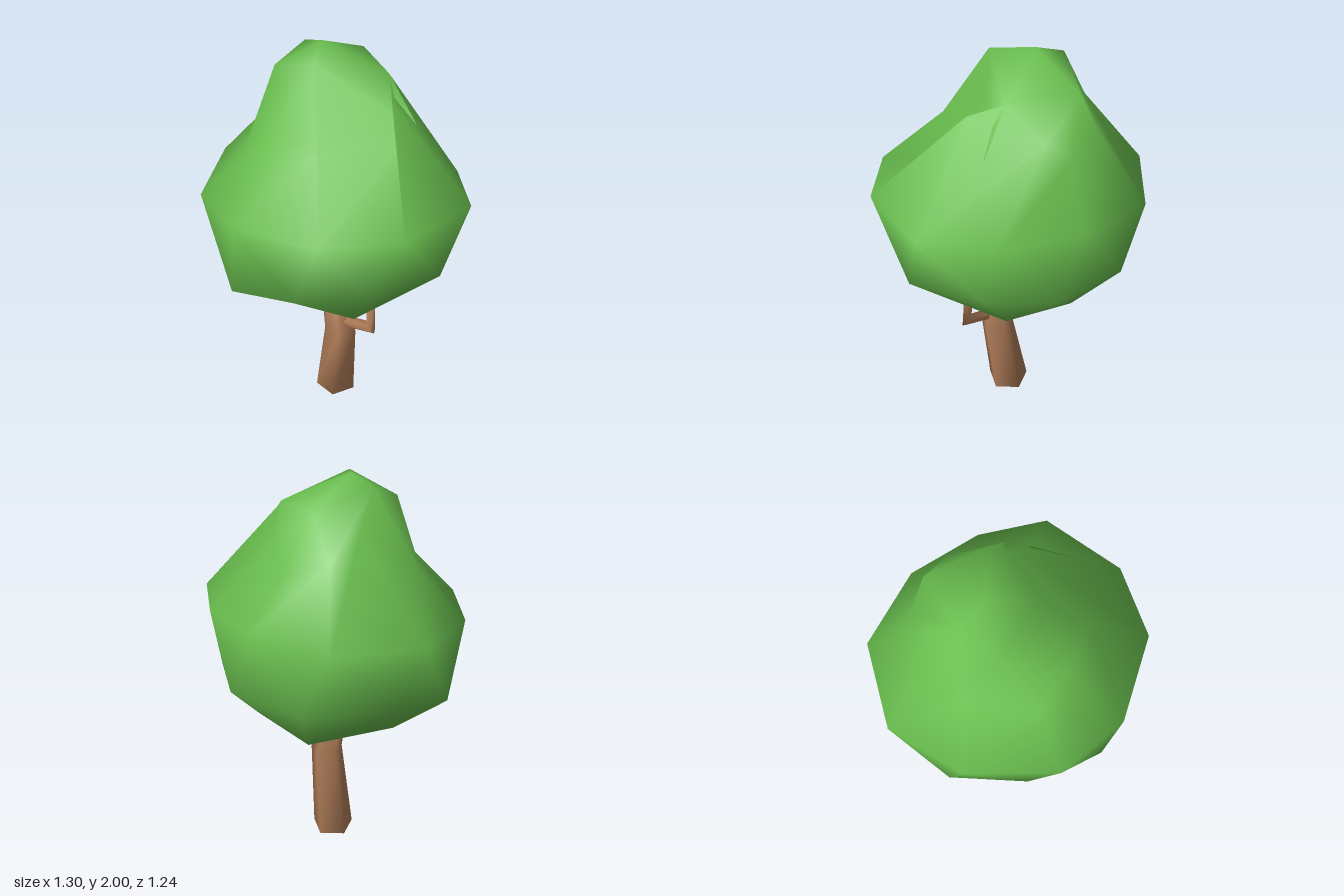
import * as THREE from 'three';
import { mergeVertices } from 'three/addons/utils/BufferGeometryUtils.js';

const leafGreen = new THREE.MeshStandardMaterial({ color: 0x6abf4f });
leafGreen.name = 'leafGreen';
const barkBrown = new THREE.MeshStandardMaterial({ color: 0xb07d58 });
barkBrown.name = 'barkBrown';

// Closed loft through rings given as centre, two radii and a tilt of the ring towards +x
function limb(name, rings, sides, turn = 0) {
  const pos = [], index = [];
  for (const [x, y, z, rx, rz, tilt = 0] of rings) {
    for (let i = 0; i < sides; i++) {
      const a = turn + (i / sides) * Math.PI * 2;
      const u = Math.cos(a) * rx;
      pos.push(x + u * Math.cos(tilt), y - u * Math.sin(tilt), z + Math.sin(a) * rz);
    }
  }
  for (let r = 0; r < rings.length - 1; r++) {
    for (let i = 0; i < sides; i++) {
      const a = r * sides + i, b = r * sides + (i + 1) % sides;
      index.push(a, a + sides, b, b, a + sides, b + sides);
    }
  }
  const top = (rings.length - 1) * sides;
  for (let i = 1; i < sides - 1; i++) {
    index.push(0, i, i + 1, top, top + i + 1, top + i);
  }
  const geo = new THREE.BufferGeometry();
  geo.setAttribute('position', new THREE.Float32BufferAttribute(pos, 3));
  geo.setIndex(index);
  geo.computeVertexNormals();
  const mesh = new THREE.Mesh(geo, barkBrown);
  mesh.name = name;
  return mesh;
}

// Lumps and hollows: the closest free crown vertex is pulled to each point
const peak = [
  [-0.11, 2.0, -0.04], [-0.25, 1.96, -0.06], [-0.145, 1.89, -0.34],
  [0.15, 1.87, -0.22], [0.03, 1.97, 0.12], [-0.24, 1.89, 0.13],
];
const shoulders = [
  [-0.25, 1.68, -0.36], [0.28, 1.8, -0.11], [-0.21, 1.56, 0.34], [-0.28, 1.8, -0.19],
  [0.05, 1.73, -0.39], [-0.41, 1.6, 0.06], [-0.03, 1.67, 0.33], [0.3, 1.64, -0.27],
];
const widestRing = [
  [-0.65, 1.36, -0.19], [0.65, 1.37, 0.16], [0.04, 1.35, 0.62], [-0.32, 1.33, 0.54], [-0.6, 1.35, 0.2],
  [-0.4, 1.36, -0.54], [0.37, 1.36, -0.5], [0.64, 1.37, -0.28], [0.45, 1.36, 0.47], [0, 1.38, -0.61],
];
const underside = [
  [-0.6, 0.97, 0.09], [0.13, 1.06, -0.62], [-0.03, 0.95, 0.6], [-0.37, 0.93, 0.4], [0.62, 1.04, -0.13],
  [-0.26, 1.05, -0.58], [0.34, 0.76, 0.15], [-0.05, 0.76, 0.33], [-0.34, 0.75, 0.02],
  [-0.13, 0.76, -0.38], [0.23, 0.79, -0.35], [0.06, 0.665, -0.05],
];

function crown() {
  let geo = new THREE.IcosahedronGeometry(1, 1);
  geo.deleteAttribute('normal');
  geo.deleteAttribute('uv');
  geo = mergeVertices(geo, 1e-3);
  geo.rotateZ(-Math.atan(2 / (1 + Math.sqrt(5)))); // one corner straight up
  const p = geo.attributes.position;
  const up = new THREE.Vector3(0, 1, 0);
  const free = [];
  for (let i = 0; i < p.count; i++) {
    const v = new THREE.Vector3().fromBufferAttribute(p, i);
    // both halves twist a little and the upper one narrows to a leaning peak
    const t = THREE.MathUtils.smoothstep(v.y, 0, 0.45);
    const low = THREE.MathUtils.smoothstep(-v.y, 0, 0.45);
    v.applyAxisAngle(up, THREE.MathUtils.degToRad(20 * t + 12 * low));
    const s = 1 - t * 0.33;
    v.set(v.x * s * 0.66 - 0.04 * t, 1.35 + v.y * (v.y > 0 ? 0.65 : 0.68), v.z * s * 0.64 - 0.04 * t);
    p.setXYZ(i, v.x, v.y, v.z);
    free.push({ i, v });
  }
  for (const lump of [...peak, ...shoulders, ...widestRing, ...underside]) {
    const target = new THREE.Vector3(...lump);
    free.sort((a, b) => b.v.distanceTo(target) - a.v.distanceTo(target));
    p.setXYZ(free.pop().i, ...lump);
  }
  geo.computeVertexNormals();
  const mesh = new THREE.Mesh(geo, leafGreen);
  mesh.name = 'crown';
  return mesh;
}

export function createModel() {
  const tree = new THREE.Group();
  tree.name = 'tree';
  tree.add(crown());
  // bent five-sided trunk reaching into the crown
  tree.add(limb('trunk', [
    [0.02, 0, -0.023, 0.112, 0.112],
    [0.083, 0.47, 0.0, 0.087, 0.087, 0.05],
    [0.008, 0.74, -0.015, 0.07, 0.068, -0.2],
  ], 5, THREE.MathUtils.degToRad(52)));
  // side branch with an upright tip
  tree.add(limb('branch', [
    [0.09, 0.515, 0.0, 0.034, 0.03, 1.3],
    [0.277, 0.567, -0.03, 0.038, 0.022, 0.75],
    [0.264, 0.75, -0.04, 0.028, 0.018, 0],
  ], 6));
  return tree;
}
